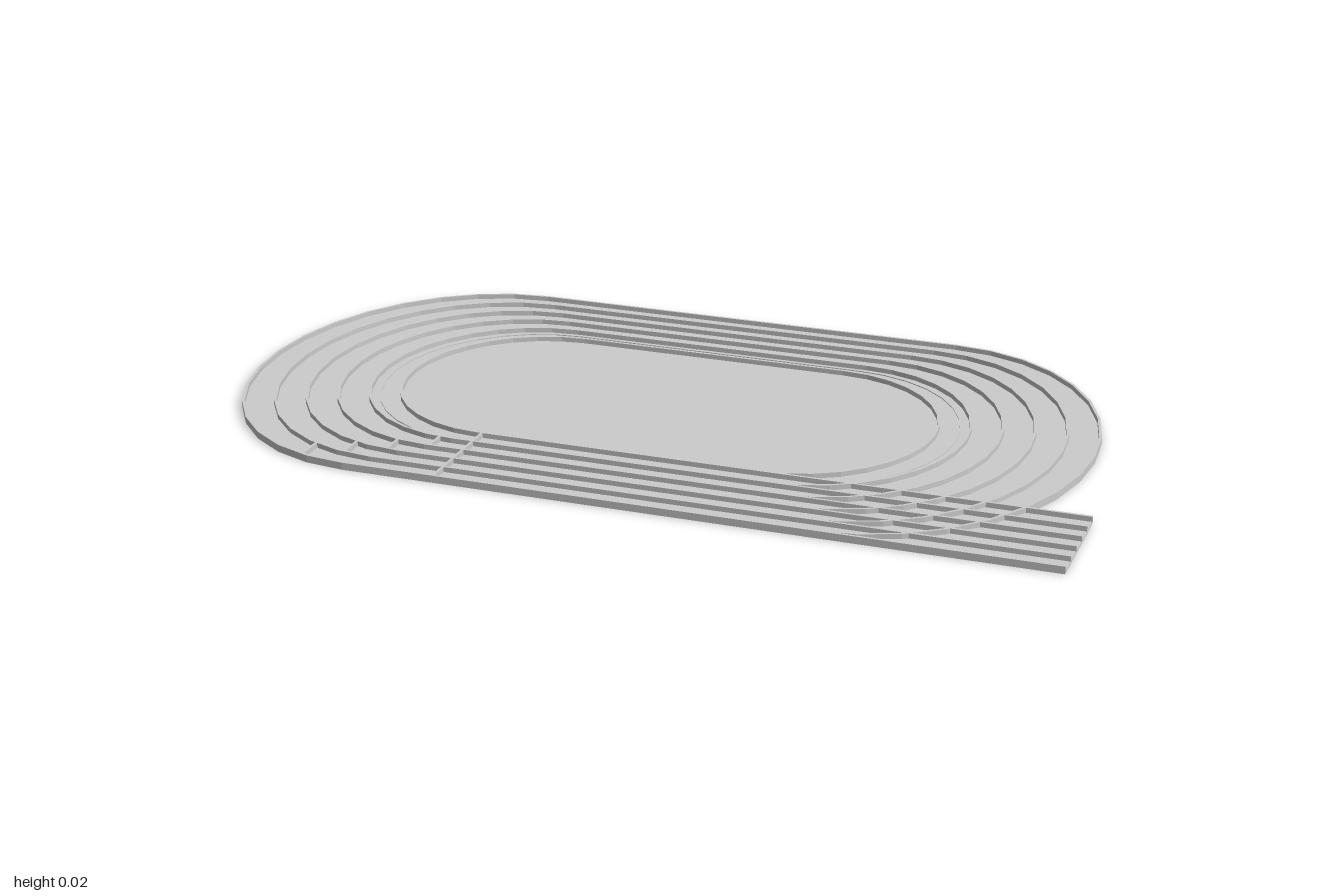
import * as THREE from 'three';

const CX = -0.03;       // middle of the oval
const LANES = 5;
const FLOOR = 0.005;    // thickness of the base
const TOP = 0.016;      // top of the lane dividers
const WALL = 0.006;     // divider width

// Size of the oval at t = 0 (outer edge) .. 1 (infield edge)
function ovalSize(t) {
  const mix = (a, b) => a + (b - a) * t;
  return { h: mix(0.52, 0.32), a: mix(0.45, 0.3), z: mix(0.575, 0.32) };
}

// Oval outline: two straights joined by elliptical bends, shrunk by inset
function ovalPoints(t, inset = 0) {
  const { h, a, z } = ovalSize(t);
  const pts = [];
  const n = 16;
  for (const side of [1, -1]) {
    for (let i = 0; i <= n; i++) {
      const ang = -Math.PI / 2 + (Math.PI * i) / n;
      pts.push(new THREE.Vector2(
        CX + side * (h + (a - inset) * Math.cos(ang)),
        side * (z - inset) * Math.sin(ang)));
    }
  }
  return pts;
}

// Depth of the oval outline at a given x
function ovalZ(t, x) {
  const { h, a, z } = ovalSize(t);
  const d = Math.max(0, Math.abs(x - CX) - h) / a;
  return z * Math.sqrt(Math.max(0, 1 - d * d));
}

export function createModel() {
  const group = new THREE.Group();
  const material = new THREE.MeshStandardMaterial({ color: 0xcccccc });

  const add = (name, geometry) => {
    const mesh = new THREE.Mesh(geometry, material);
    mesh.name = name;
    group.add(mesh);
    return mesh;
  };
  const slab = (name, shape, y0, y1) => {
    const g = new THREE.ExtrudeGeometry(shape, { depth: y1 - y0, bevelEnabled: false });
    g.rotateX(-Math.PI / 2);
    g.translate(0, y0, 0);
    return add(name, g);
  };
  const box = (name, x0, x1, y0, y1, z0, z1) => {
    const g = new THREE.BoxGeometry(x1 - x0, y1 - y0, z1 - z0);
    g.translate((x0 + x1) / 2, (y0 + y1) / 2, (z0 + z1) / 2);
    return add(name, g);
  };
  const ring = (name, t, width, top) => {
    const shape = new THREE.Shape(ovalPoints(t));
    shape.holes.push(new THREE.Path(ovalPoints(t, width).reverse()));
    slab(name, shape, 0, top);
  };

  // Base of the oval and of the sprint straight
  slab('trackBase', new THREE.Shape(ovalPoints(0)), 0, FLOOR);
  box('sprintBase', 0.45, 1, 0, FLOOR, 0.314, 0.575);

  // Raised lane dividers round the oval
  for (let i = 0; i <= LANES; i++) ring('laneDivider' + i, i / LANES, WALL, TOP);

  // Thin low line inside the innermost lane
  ring('innerLine', 0.87, 0.003, FLOOR + 0.002);

  // Dividers carried straight on along the sprint lanes
  for (let i = 0; i <= LANES; i++) {
    const z = ovalSize(i / LANES).z;
    box('sprintDivider' + i, 0.2, 1, 0, TOP, z - WALL, z);
  }

  // Start line across all lanes
  box('startLine', -0.343, -0.337, 0, TOP, 0.317, 0.572);

  // Staggered start marks, further back on the outer lanes
  for (let i = 0; i < LANES; i++) {
    const x = -0.34 - 0.078 * (LANES - 1 - i);
    box('staggerMark' + i, x - 0.003, x + 0.003, 0, TOP,
      ovalZ((i + 1) / LANES, x) - 0.003, ovalZ(i / LANES, x) - 0.003);
  }

  return group;
}
